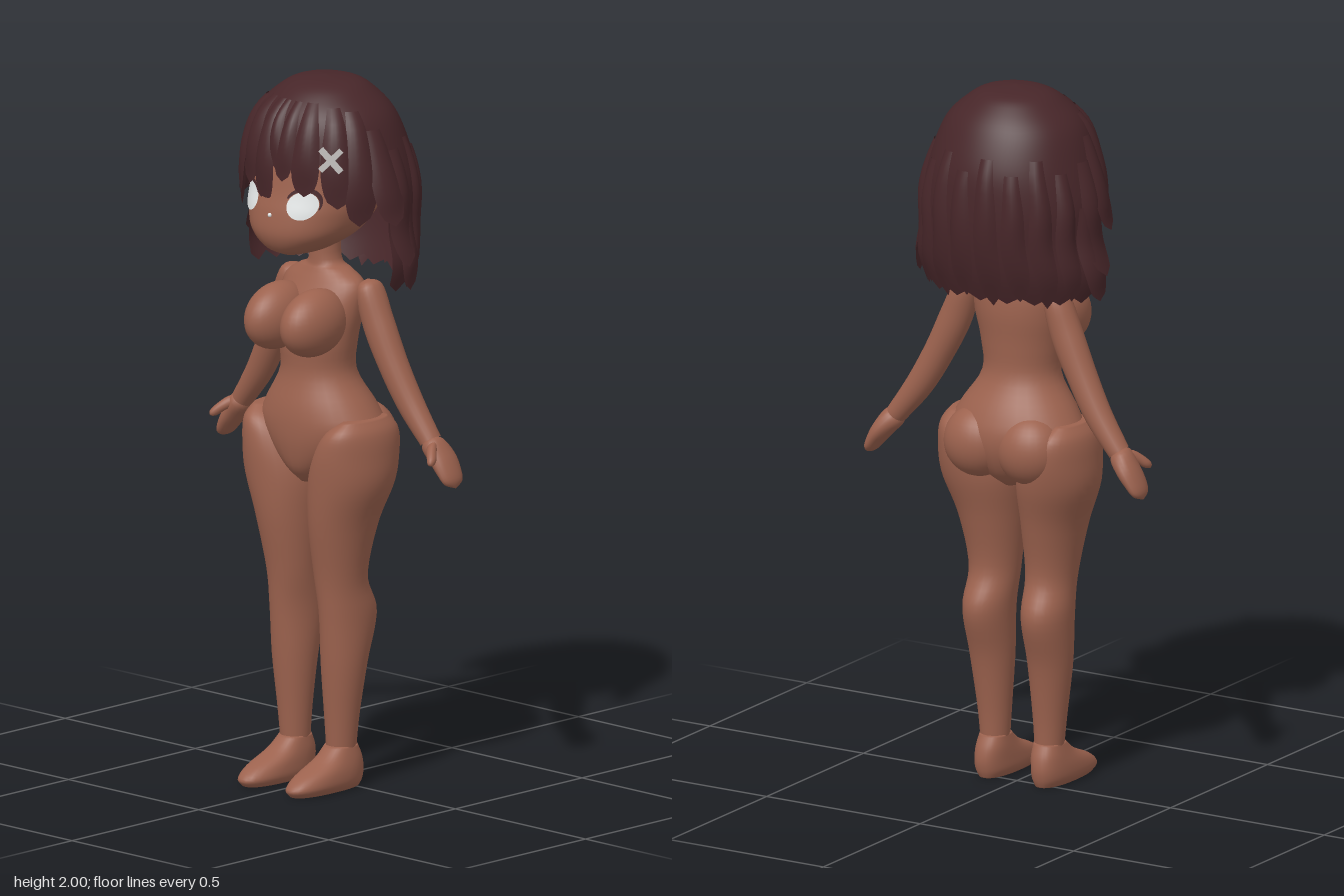
import * as THREE from 'three';
import { mergeVertices } from 'three/addons/utils/BufferGeometryUtils.js';

const mat = (name, color, side = THREE.FrontSide) => {
  const m = new THREE.MeshStandardMaterial({ color, side });
  m.name = name;
  return m;
};

// Smooth surface from a function of u and v (both 0..1)
function grid(f, nu, nv) {
  const pos = [], idx = [];
  for (let i = 0; i <= nv; i++)
    for (let j = 0; j <= nu; j++) pos.push(...f(j / nu, i / nv));
  for (let i = 0; i < nv; i++)
    for (let j = 0; j < nu; j++) {
      const a = i * (nu + 1) + j, c = a + nu + 1;
      idx.push(a, a + 1, c + 1, a, c + 1, c);
    }
  let g = new THREE.BufferGeometry();
  g.setAttribute('position', new THREE.Float32BufferAttribute(pos, 3));
  g.setIndex(idx);
  g = mergeVertices(g, 1e-5);
  g.computeVertexNormals();
  return g;
}

function mirrored(geo) {
  const g = geo.clone().scale(-1, 1, 1);
  const ix = g.index.array;
  for (let i = 0; i < ix.length; i += 3) [ix[i], ix[i + 1]] = [ix[i + 1], ix[i]];
  g.computeVertexNormals();
  return g;
}

// Catmull-Rom through rows of numbers
function spline(rows, t) {
  const n = rows.length - 1, s = Math.min(t * n, n - 1e-9), i = Math.floor(s), k = s - i;
  const r = (q) => rows[Math.max(0, Math.min(n, q))];
  return rows[0].map((_, c) => {
    const [a, b, d, e] = [r(i - 1)[c], r(i)[c], r(i + 1)[c], r(i + 2)[c]];
    return b + 0.5 * k * (d - a + k * (2 * a - 5 * b + 4 * d - e + k * (3 * (b - d) + e - a)));
  });
}

// Point on an oval section [y, centre x, half width, front z, back z]; angle 0 faces +z
function oval([y, cx, rx, zf, zb], a, p = 1, lift = 0) {
  const s = Math.sin(a), c = Math.cos(a), mid = (zf + zb) / 2;
  const pw = (q) => Math.sign(q) * Math.abs(q) ** p;
  return [cx + (rx + lift) * pw(s), y, mid + ((zf - zb) / 2 + lift) * pw(c)];
}

// Closed body from sections listed bottom to top
function loft(rows, p = 1, nv = 48) {
  const cap = ([y, cx, , zf, zb]) => [y, cx, 0, (zf + zb) / 2, (zf + zb) / 2];
  return grid((u, v) => {
    const i = Math.round(v * nv);
    const r = i === 0 ? cap(rows[0]) : i === nv ? cap(rows.at(-1)) : spline(rows, (i - 1) / (nv - 2));
    return oval(r, u * Math.PI * 2, p);
  }, 32, nv);
}

// Limb along points [x, y, z, thickness, depth]
function limb(rows, nv = 30) {
  return grid((u, v) => {
    const [x, y, z, rn, rz] = spline(rows, v);
    const a = spline(rows, Math.max(0, v - 0.01)), b = spline(rows, Math.min(1, v + 0.01));
    const d = new THREE.Vector2(b[0] - a[0], b[1] - a[1]).normalize();
    const c = Math.cos(u * Math.PI * 2) * rn, s = Math.sin(u * Math.PI * 2) * rz;
    return [x - d.y * c, y + d.x * c, z + s];
  }, 20, nv);
}

// Section at a given height
function sectionAt(rows, y) {
  let lo = 0, hi = 1;
  for (let i = 0; i < 24; i++) {
    const m = (lo + hi) / 2;
    if (spline(rows, m)[0] < y) lo = m; else hi = m;
  }
  const r = spline(rows, lo);
  r[0] = y;
  return r;
}

const HEAD = [[1.515, 0, 0.03, 0.16, 0.06], [1.535, 0, 0.085, 0.2, 0.01], [1.58, 0, 0.145, 0.222, -0.07],
  [1.64, 0, 0.172, 0.218, -0.13], [1.7, 0, 0.18, 0.203, -0.16], [1.8, 0, 0.185, 0.182, -0.17],
  [1.88, 0, 0.16, 0.145, -0.15], [1.95, 0, 0.08, 0.08, -0.08]];
const HAIR = [[1.4, 0, 0.255, 0.17, -0.18], [1.5, 0, 0.28, 0.19, -0.215], [1.6, 0, 0.262, 0.2, -0.232],
  [1.7, 0, 0.262, 0.207, -0.235], [1.8, 0, 0.238, 0.203, -0.225], [1.9, 0, 0.2, 0.175, -0.185],
  [1.96, 0, 0.14, 0.125, -0.135], [1.99, 0, 0.085, 0.07, -0.085], [2.0, 0, 0, 0, 0]];

// Pointed strand lying on the hair surface
function lock(a0, y0, a1, y1, w, flare = 0) {
  return grid((u, v) => {
    const t = 1 - v, k = u * 2 - 1;
    const wide = w * (0.55 + 0.9 * t) * Math.sqrt(1 - t ** 2.5);
    const a = a0 + (a1 - a0) * t ** 1.3 + k * wide;
    return oval(sectionAt(HAIR, y0 + (y1 - y0) * t), a, 1, 0.001 + 0.013 * (1 - k * k) * Math.sin(Math.PI * Math.min(1, t + 0.1)) + flare * t ** 3);
  }, 6, 14);
}

export function createModel() {
  const model = new THREE.Group();
  const skin = mat('skin', 0x9c624e);
  const hair = mat('hair', 0x472629, THREE.DoubleSide);
  const white = mat('eye white', 0xecefef, THREE.DoubleSide);
  const metal = mat('clip', 0xc4c0be);
  const add = (name, geo, m, parent = model) => {
    const mesh = new THREE.Mesh(geo, m);
    mesh.name = name;
    parent.add(mesh);
    return mesh;
  };
  const pair = (name, geo, m) => {
    add(name + 'Left', geo, m);
    add(name + 'Right', mirrored(geo), m);
  };

  // Torso and neck
  add('torso', loft([[0.86, 0, 0.03, 0.09, -0.05], [0.9, 0, 0.09, 0.125, -0.1], [0.96, 0, 0.165, 0.142, -0.13],
    [1.02, 0, 0.2, 0.147, -0.135], [1.08, 0, 0.172, 0.142, -0.115], [1.17, 0, 0.115, 0.122, -0.07],
    [1.26, 0, 0.122, 0.125, -0.068], [1.35, 0, 0.138, 0.105, -0.075], [1.42, 0, 0.138, 0.07, -0.07],
    [1.455, 0, 0.09, 0.052, -0.055], [1.48, 0, 0.047, 0.045, -0.045], [1.57, 0, 0.045, 0.045, -0.045]]), skin);
  const chest = new THREE.SphereGeometry(1, 28, 20).scale(0.072, 0.093, 0.115).rotateX(0.2).translate(0.069, 1.325, 0.115);
  pair('chest', chest, skin);
  pair('seat', new THREE.SphereGeometry(1, 28, 20).scale(0.1, 0.1, 0.085).translate(0.085, 0.98, -0.066), skin);

  // Legs and feet
  pair('leg', loft([[0.1, 0.088, 0.04, 0.07, -0.015], [0.2, 0.09, 0.048, 0.077, -0.022], [0.35, 0.094, 0.062, 0.09, -0.045],
    [0.49, 0.095, 0.068, 0.1, -0.083], [0.6, 0.092, 0.071, 0.112, -0.045], [0.75, 0.102, 0.091, 0.138, -0.07],
    [0.87, 0.122, 0.113, 0.15, -0.106], [0.96, 0.139, 0.098, 0.152, -0.118], [1.02, 0.157, 0.07, 0.14, -0.105],
    [1.055, 0.172, 0.03, 0.1, -0.06]]), skin);
  pair('foot', loft([[0, 0.091, 0.042, 0.222, -0.028], [0.02, 0.092, 0.054, 0.236, -0.036], [0.05, 0.092, 0.054, 0.2, -0.04],
    [0.085, 0.09, 0.048, 0.12, -0.034], [0.12, 0.088, 0.04, 0.075, -0.018]], 0.85, 20), skin);

  // Arms with mitten hands
  pair('arm', limb([[0.138, 1.438, -0.025, 0, 0], [0.145, 1.415, -0.025, 0.034, 0.04], [0.178, 1.32, -0.027, 0.046, 0.044],
    [0.23, 1.21, -0.032, 0.043, 0.042], [0.29, 1.105, -0.04, 0.039, 0.038], [0.362, 1.01, -0.046, 0.03, 0.032]]), skin);
  pair('hand', limb([[0.35, 1.026, -0.046, 0, 0], [0.365, 1.006, -0.047, 0.03, 0.033], [0.395, 0.97, -0.055, 0.029, 0.044],
    [0.42, 0.935, -0.056, 0.023, 0.043], [0.438, 0.905, -0.056, 0.015, 0.033], [0.447, 0.89, -0.056, 0, 0]], 20), skin);
  pair('thumb', limb([[0.375, 1.012, -0.035, 0, 0], [0.382, 1.005, -0.028, 0.015, 0.017], [0.405, 0.985, -0.004, 0.014, 0.017],
    [0.42, 0.968, 0.01, 0.011, 0.014], [0.426, 0.96, 0.014, 0, 0]], 12), skin);

  // Head, eyes and lashes
  add('head', loft(HEAD, 0.9), skin);
  const onFace = (a, y, lift) => oval(sectionAt(HEAD, y), a, 0.9, lift);
  pair('eye', grid((u, v) => {
    const q = -u * Math.PI * 2, r = 1 - v;
    return onFace(0.53 + 0.265 * r * Math.cos(q), 1.673 + 0.039 * r * Math.sin(q), 0.005);
  }, 24, 5), white);
  pair('eyelash', grid((u, v) => {
    const q = 2.7 - u * 2.9, r = 1 + 0.3 * v * Math.sin(Math.PI * (0.12 + 0.8 * u));
    return onFace(0.53 + 0.275 * r * Math.cos(q), 1.673 + 0.04 * r * Math.sin(q), 0.008);
  }, 18, 2), hair);
  add('noseTip', new THREE.SphereGeometry(0.006, 10, 8).translate(0, 1.637, 0.219), white);

  // Hair shell, open over the face and jagged along the hem
  const gap = (y) => 1.42 * THREE.MathUtils.smoothstep(1.9 - y, 0, 0.24);
  add('hairShell', grid((u, v) => {
    const saw = Math.abs(((u * 11) % 1) - 0.5);
    const low = 1.425 + 0.045 * saw;
    const t = v < 1 ? Math.sin(v * Math.PI / 2) : 1;
    const y = low + (2 - low) * t;
    const g = gap(y);
    return oval(sectionAt(HAIR, y), g + u * (Math.PI * 2 - 2 * g));
  }, 88, 36), hair);

  // Strands: start angle, start height, tip angle, tip height, half width, flare
  const bangs = new THREE.Group();
  bangs.name = 'bangs';
  model.add(bangs);
  [[-0.2, 1.95, -0.12, 1.665, 0.17], [-0.5, 1.95, -0.42, 1.705, 0.2], [-0.85, 1.94, -0.78, 1.66, 0.2],
    [-1.15, 1.93, -1.02, 1.61, 0.22], [0.2, 1.95, 0.13, 1.735, 0.14], [0.48, 1.95, 0.4, 1.70, 0.19],
    [0.85, 1.94, 0.78, 1.67, 0.21], [1.15, 1.93, 1.03, 1.62, 0.22], [-0.04, 1.95, 0.03, 1.77, 0.12],
  ].forEach((s) => add('bang', lock(...s), hair, bangs));

  const strands = new THREE.Group();
  strands.name = 'sideAndBackStrands';
  model.add(strands);
  for (const s of [-1, 1]) {
    add('sideStrand', lock(s * 1.4, 1.88, s * 1.42, 1.62, 0.22, 0.035), hair, strands);
    add('sideStrand', lock(s * 1.65, 1.82, s * 1.6, 1.5, 0.22, 0.025), hair, strands);
    add('sideStrand', lock(s * 1.75, 1.7, s * 1.7, 1.43, 0.2, 0.03), hair, strands);
  }
  for (let i = 0; i < 8; i++)
    add('backStrand', lock(2.05 + i * 0.312, 1.84 - 0.04 * (i % 2), 2.05 + i * 0.312, 1.415 + 0.02 * (i % 2), 0.15), hair, strands);

  // Crossed hair clip
  const clip = new THREE.Group();
  clip.name = 'hairClip';
  for (const s of [-1, 1])
    add('clipBar', new THREE.BoxGeometry(0.085, 0.016, 0.009).rotateZ(s * Math.PI / 4), metal, clip);
  clip.position.set(0.175, 1.81, 0.158);
  clip.rotation.y = 0.4;
  model.add(clip);

  return model;
}
